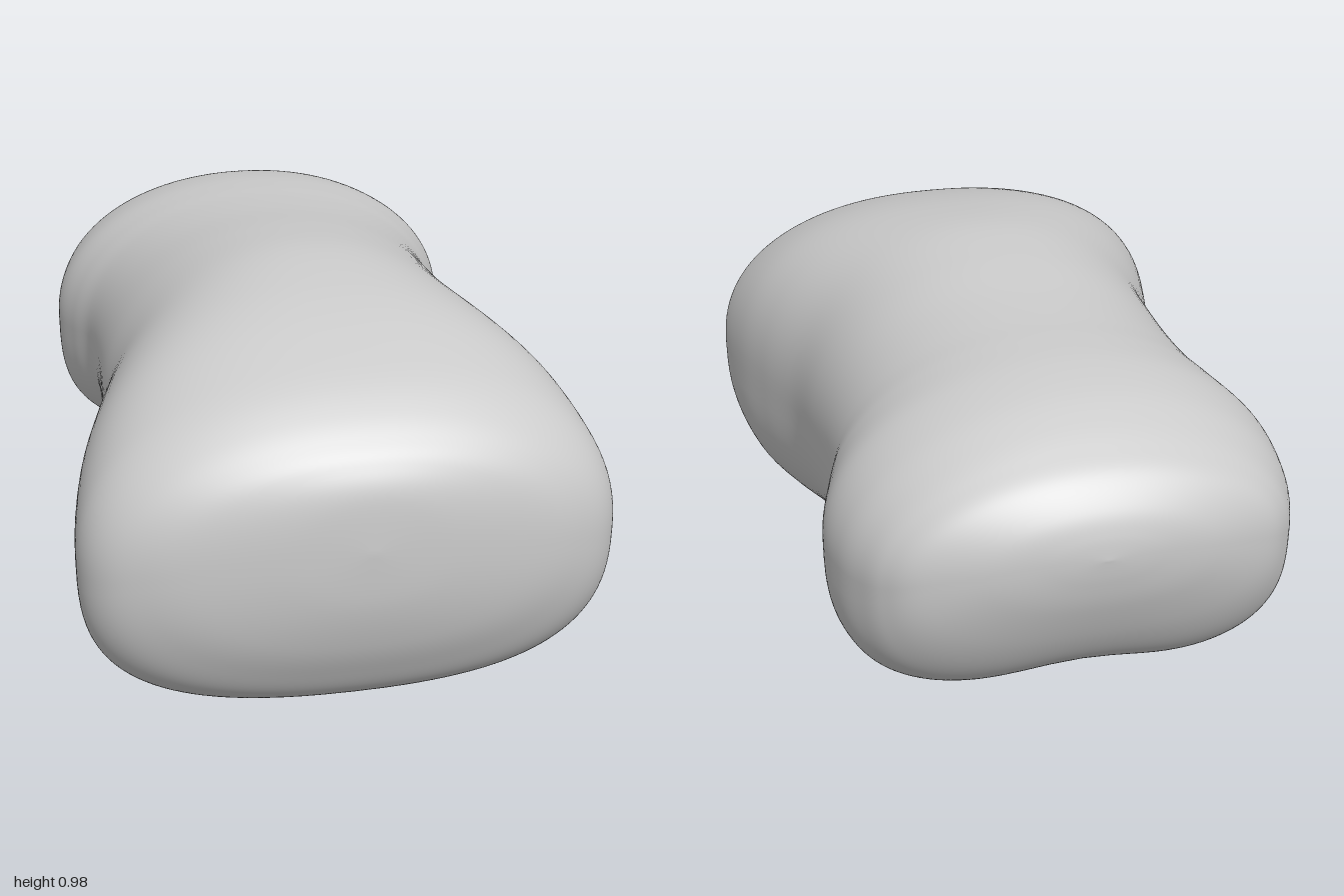
import * as THREE from 'three';

// Cross-sections from front to back:
// z, half width, top, bottom, height of widest line, squareness of the underside
const SECTIONS = [
  [1.0, 0, 0.54, 0.54, 0.54, 2.3],
  [0.99, 0.2, 0.67, 0.4, 0.53, 2.3],
  [0.96, 0.4, 0.74, 0.28, 0.5, 2.4],
  [0.92, 0.52, 0.785, 0.19, 0.48, 2.5],
  [0.87, 0.595, 0.825, 0.11, 0.46, 2.6],
  [0.8, 0.635, 0.865, 0.055, 0.45, 2.8],
  [0.71, 0.64, 0.897, 0.025, 0.45, 3.0],
  [0.56, 0.617, 0.937, 0.013, 0.46, 3.2],
  [0.4, 0.575, 0.965, 0.025, 0.47, 3.1],
  [0.2, 0.522, 0.982, 0.067, 0.49, 3.0],
  [0.0, 0.503, 0.972, 0.13, 0.52, 2.9],
  [-0.2, 0.495, 0.952, 0.187, 0.55, 2.8],
  [-0.35, 0.505, 0.942, 0.203, 0.56, 2.7],
  [-0.46, 0.54, 0.938, 0.178, 0.54, 2.9],
  [-0.58, 0.57, 0.93, 0.157, 0.53, 3.2],
  [-0.7, 0.556, 0.91, 0.168, 0.53, 3.3],
  [-0.79, 0.525, 0.88, 0.205, 0.54, 3.2],
  [-0.86, 0.485, 0.847, 0.272, 0.56, 3.0],
  [-0.92, 0.415, 0.81, 0.37, 0.59, 2.7],
  [-0.97, 0.27, 0.75, 0.49, 0.62, 2.4],
  [-0.992, 0.13, 0.695, 0.575, 0.64, 2.2],
  [-1.0, 0, 0.64, 0.64, 0.64, 2.2],
];

const bump = (v, centre, width) => Math.exp(-(((v - centre) / width) ** 2));

// Catmull-Rom blend between neighbouring cross-sections
function sectionAt(t) {
  const last = SECTIONS.length - 1;
  const i = Math.min(Math.floor(t), last - 1), u = t - i;
  const at = (k) => SECTIONS[Math.max(0, Math.min(last, k))];
  return at(i).map((b, j) => {
    const a = at(i - 1)[j], c = at(i + 1)[j], d = at(i + 2)[j];
    return b + 0.5 * u * (c - a + u * (2 * a - 5 * b + 4 * c - d + u * (3 * (b - c) + d - a)));
  });
}

function loftBody(rings, sides) {
  const positions = [], index = [];
  const addPole = ([z, , y]) => positions.push(0, y, z);

  addPole(SECTIONS[0]);
  for (let r = 1; r < rings; r++) {
    const [z, w, top, bottom, mid, squareness] = sectionAt(r / rings * (SECTIONS.length - 1));
    // The back is fuller over the front; the belly has a faint keel, the rear a groove
    const topSquareness = 2.08 + 0.35 * bump(z, 0.55, 0.3);
    const ridge = 0.05 * bump(z, -0.7, 0.18) - 0.018 * bump(z, 0.05, 0.6);
    for (let s = 0; s < sides; s++) {
      const a = s / sides * Math.PI * 2, c = Math.cos(a), q = Math.sin(a);
      const p = 2 / (q >= 0 ? topSquareness : squareness);
      const x = w * Math.sign(c) * Math.abs(c) ** p;
      const h = q >= 0 ? top - mid : bottom - mid + ridge * bump(x, 0, 0.2);
      positions.push(x, mid + h * Math.abs(q) ** p, z);
    }
  }
  addPole(SECTIONS[SECTIONS.length - 1]);

  // Skin between rings, closed by a fan at each end
  const endPole = positions.length / 3 - 1;
  const id = (r, s) => 1 + (r - 1) * sides + s % sides;
  for (let s = 0; s < sides; s++) {
    index.push(0, id(1, s), id(1, s + 1));
    for (let r = 1; r < rings - 1; r++) {
      const a = id(r, s), b = id(r, s + 1), c = id(r + 1, s + 1), d = id(r + 1, s);
      index.push(a, d, c, a, c, b);
    }
    index.push(endPole, id(rings - 1, s + 1), id(rings - 1, s));
  }

  const geometry = new THREE.BufferGeometry();
  geometry.setAttribute('position', new THREE.Float32BufferAttribute(positions, 3));
  geometry.setIndex(index);
  geometry.computeVertexNormals();
  return geometry;
}

export function createModel() {
  const model = new THREE.Group();
  // One smooth rounded body: broad front, narrow waist, rear with two low side lobes
  const body = new THREE.Mesh(
    loftBody(168, 120),
    new THREE.MeshStandardMaterial({ color: 0xcccccc })
  );
  body.name = 'body';
  model.add(body);
  return model;
}
